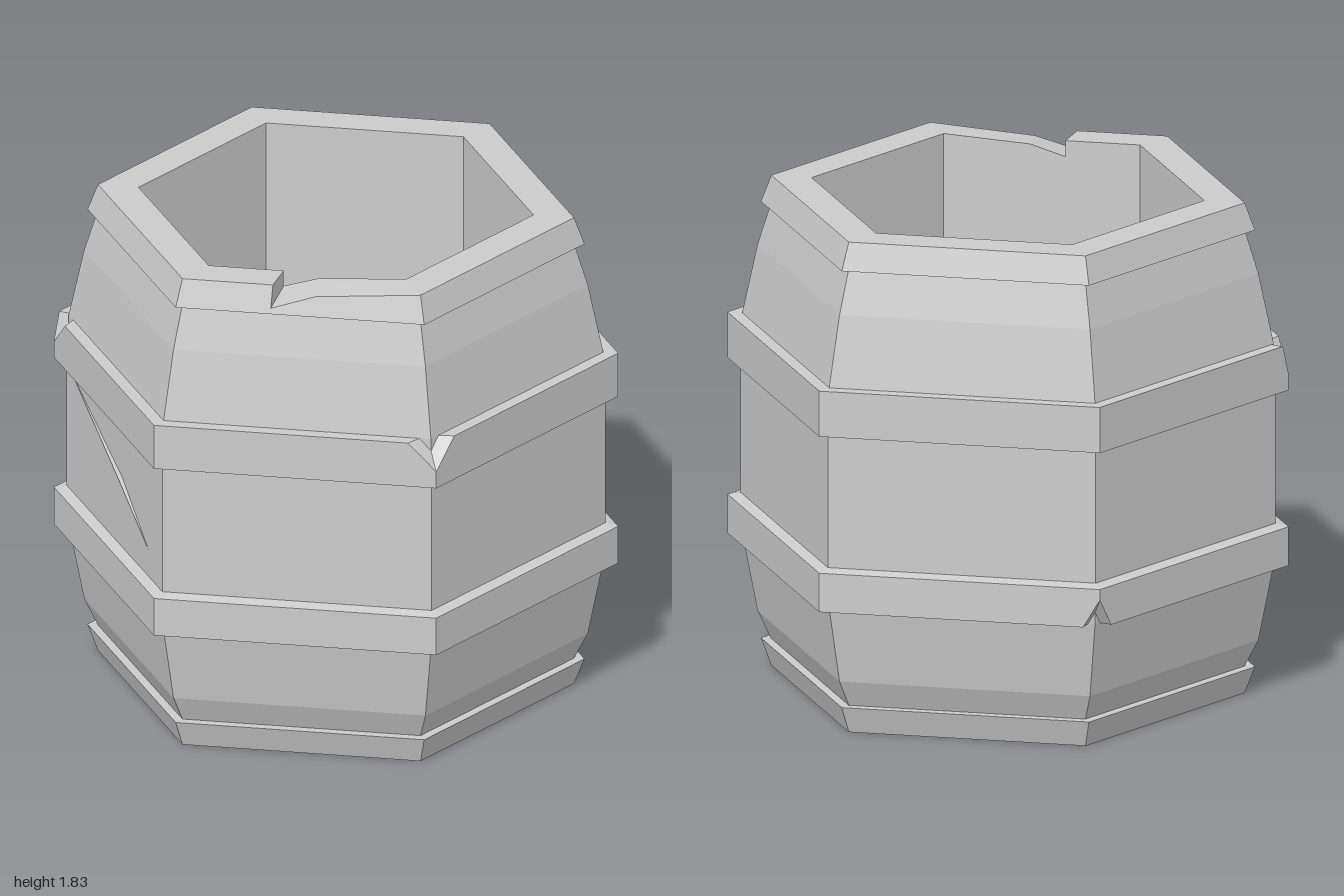
import * as THREE from 'three';
import { ConvexGeometry } from 'three/addons/geometries/ConvexGeometry.js';

const SIDES = 6;
const INNER = 0.715;

// Corner k of the hexagon at radius r and height y
function corner(k, r, y) {
  const a = THREE.MathUtils.degToRad(-12 + 60 * k);
  return new THREE.Vector3(r * Math.cos(a), y, r * Math.sin(a));
}

// Point a fraction t along side k
function onSide(k, t, r, y) {
  return corner(k, r, y).lerp(corner(k + 1, r, y), t);
}

export function createModel() {
  const model = new THREE.Group();
  const material = new THREE.MeshStandardMaterial({ color: 0xcccccc, flatShading: true });

  function add(parent, name, points) {
    const mesh = new THREE.Mesh(new ConvexGeometry(points), material);
    mesh.name = name;
    parent.add(mesh);
  }
  function group(name) {
    const g = new THREE.Group();
    g.name = name;
    model.add(g);
    return g;
  }
  // A straight block following a [radius, height] profile along one side
  function block(parent, name, k, profile) {
    add(parent, name, [0, 1].flatMap((t) => profile.map(([r, y]) => onSide(k, t, r, y))));
  }

  // Bulging staves and the foot band
  const staves = group('staves');
  const footBand = group('footBand');
  const bulge = [
    [INNER, 0.1], [0.862, 0.1], [0.912, 0.2], [0.968, 0.485], [0.975, 0.64],
    [0.975, 1.13], [0.968, 1.31], [0.912, 1.57], [0.862, 1.73], [INNER, 1.73],
  ];
  const foot = [[INNER, 0], [0.862, 0], [0.9, 0.1], [INNER, 0.1]];
  for (let k = 0; k < SIDES; k++) {
    block(staves, 'stave', k, bulge);
    block(footBand, 'footBandSide', k, foot);
  }

  // Floor inside the hollow
  add(model, 'floor', [0, 0.1].flatMap((y) =>
    Array.from({ length: SIDES }, (_, k) => corner(k, INNER, y))));

  // Rim band; one side has a broken notch with a ramp
  const rim = group('rim');
  function rimPiece(k, ends) {
    add(rim, 'rimPiece', ends.flatMap(([t, outerY, innerY]) => [
      onSide(k, t, INNER, 1.73),
      onSide(k, t, 0.9, 1.73),
      onSide(k, t, 0.9 - 0.38 * (outerY - 1.73), outerY),
      onSide(k, t, INNER, innerY),
    ]));
  }
  const full = (t) => [t, 1.83, 1.83];
  const rampFoot = [0.44, 1.8, 1.81];
  for (let k = 0; k < SIDES; k++) {
    if (k === 2) {
      rimPiece(k, [full(0), rampFoot]);
      rimPiece(k, [rampFoot, [0.62, 1.75, 1.77]]);
      rimPiece(k, [full(0.62), full(1)]);
    } else rimPiece(k, [full(0), full(1)]);
  }

  // Hoops; a chip slices a corner off the flat edge, from apex height
  // to the given fractions along the sides before and after the corner
  function hoop(name, flatY, bevelY, chips) {
    const g = group(name);
    const inward = Math.sign(bevelY - flatY) * 0.01;
    for (let k = 0; k < SIDES; k++) {
      const points = [];
      for (const t of [0, 1]) {
        points.push(
          onSide(k, t, 0.93, flatY),
          onSide(k, t, 0.93, bevelY + inward * 2),
          onSide(k, t, 1.022, bevelY),
        );
        const chip = chips[(k + t) % SIDES];
        if (chip) {
          const cut = t === 0 ? chip.after : 1 - chip.before;
          points.push(onSide(k, t, 1.022, chip.apex), onSide(k, cut, 1.022, flatY));
        } else points.push(onSide(k, t, 1.022, flatY));
      }
      add(g, 'hoopSide', points);
    }
  }
  hoop('upperHoop', 1.31, 1.14, {
    2: { before: 0.1, after: 0.1, apex: 1.205 },
    4: { before: 0.11, after: 0.03, apex: 1.2 },
  });
  hoop('lowerHoop', 0.485, 0.63, {
    5: { before: 0.06, after: 0.06, apex: 0.59 },
  });

  // Slim splinter lifting from a stave
  add(model, 'splinter', [
    onSide(3, 0.99, 0.974, 1.12),
    onSide(3, 0.12, 0.974, 0.73),
    onSide(3, 0.42, 0.97, 0.92),
    onSide(3, 0.42, 0.988, 0.9),
  ]);

  return model;
}
